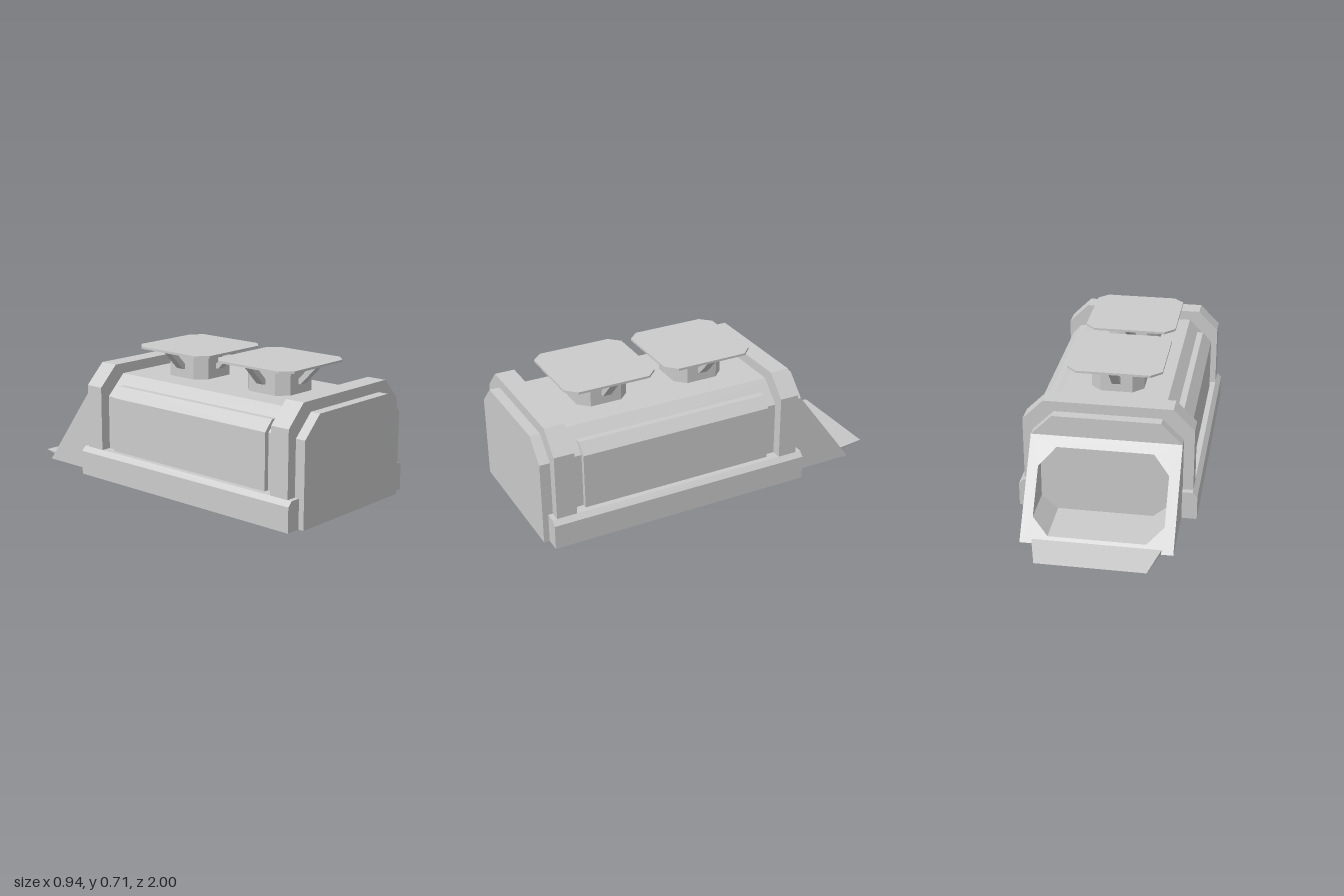
import * as THREE from 'three';

const material = new THREE.MeshStandardMaterial({ color: 0xcccccc, flatShading: true, side: THREE.DoubleSide });

function add(parent, name, geometry) {
  const mesh = new THREE.Mesh(geometry, material);
  mesh.name = name;
  parent.add(mesh);
  return mesh;
}

// Flat-faced geometry from convex polygons, each a loop of [x, y, z]
function polygons(list) {
  const pos = [];
  for (const p of list) {
    for (let i = 1; i < p.length - 1; i++) pos.push(...p[0], ...p[i], ...p[i + 1]);
  }
  const g = new THREE.BufferGeometry();
  g.setAttribute('position', new THREE.Float32BufferAttribute(pos, 3));
  g.computeVertexNormals();
  return g;
}

// Hollow shell along z: walls follow the open profile, ends are capped, underside stays open
function shell(profile, z0, z1, inner = []) {
  const faces = [];
  for (let i = 0; i < profile.length - 1; i++) {
    const a = profile[i], b = profile[i + 1];
    faces.push([[...a, z1], [...a, z0], [...b, z0], [...b, z1]]);
  }
  const cap = [...profile, ...inner];
  faces.push(cap.map(p => [...p, z1]), cap.map(p => [...p, z0]).reverse());
  return polygons(faces);
}

const toShape = pts => new THREE.Shape(pts.map(p => new THREE.Vector2(...p)));
const extrude = (pts, depth) =>
  new THREE.ExtrudeGeometry(toShape(pts), { depth, bevelEnabled: false });

// Arch section with chamfered upper corners
const arch = (w, h, c) => [[w, 0], [w, h - c], [w - c, h], [c - w, h], [-w, h - c], [-w, 0]];

// Square with cut corners, extruded upwards
function cutSquare(r, c, y0, y1) {
  const k = r - c;
  const pts = [[r, -k], [r, k], [k, r], [-k, r], [-r, k], [-r, -k], [-k, -r], [k, -r]];
  return extrude(pts, y1 - y0).rotateX(-Math.PI / 2).translate(0, y0, 0);
}

function createEntrance() {
  const g = new THREE.Group();
  g.name = 'entrance';
  const W = 0.39, H = 0.445, zTop = -0.5, zFoot = -0.83;
  const slopeZ = y => zFoot + (zTop - zFoot) * y / H;
  const hole = [[0.25, 0.034], [0.335, 0.108], [0.335, 0.316], [0.25, 0.398],
    [-0.25, 0.398], [-0.335, 0.316], [-0.335, 0.108], [-0.25, 0.034]];

  // Sloping face pierced by the doorway
  const face = toShape([[W, 0], [W, H], [-W, H], [-W, 0]]);
  face.holes.push(new THREE.Path(hole.map(p => new THREE.Vector2(...p))));
  const slope = new THREE.ShapeGeometry(face);
  const pos = slope.attributes.position;
  for (let i = 0; i < pos.count; i++) {
    pos.setXYZ(i, -pos.getX(i), pos.getY(i), slopeZ(pos.getY(i)));
  }
  slope.computeVertexNormals();
  add(g, 'entranceFace', slope);

  // Triangular cheeks
  add(g, 'entranceSides', polygons([
    [[W, 0, zTop], [W, 0, zFoot], [W, H, zTop]],
    [[-W, 0, zTop], [-W, H, zTop], [-W, 0, zFoot]],
  ]));

  // Recess running level from the doorway to a flat rear wall
  const zEnd = slopeZ(0.398);
  const walls = hole.map((a, i) => {
    const b = hole[(i + 1) % hole.length];
    return [[...a, slopeZ(a[1])], [...a, zEnd], [...b, zEnd], [...b, slopeZ(b[1])]].reverse();
  });
  walls.push(hole.map(p => [...p, zEnd]).reverse());
  add(g, 'entranceRecess', polygons(walls));

  // Thin tapering ramp
  const tl = [0.33, 0.02, -0.82], tr = [-0.33, 0.02, -0.82];
  const bl = [0.33, 0, -0.82], br = [-0.33, 0, -0.82];
  const el = [0.28, 0, -1], er = [-0.28, 0, -1];
  add(g, 'ramp', polygons([[tl, el, er, tr], [bl, br, er, el], [tl, bl, el], [tr, er, br], [tl, tr, br, bl]]));
  return g;
}

function createPad(z) {
  const g = new THREE.Group();
  g.name = 'landingPad';
  g.position.z = z;
  add(g, 'padPedestal', cutSquare(0.14, 0.055, 0.555, 0.7));
  add(g, 'padDeck', cutSquare(0.25, 0.055, 0.7, 0.712));
  // Four slanted braces under the deck
  const brace = extrude([[0.135, 0.605], [0.155, 0.605], [0.25, 0.703], [0.21, 0.703], [0.135, 0.625]], 0.046)
    .translate(0, 0, -0.023);
  for (let i = 0; i < 4; i++) add(g, 'padBrace', brace).rotation.y = i * Math.PI / 2;
  return g;
}

function createSide(sign) {
  const g = new THREE.Group();
  g.name = sign > 0 ? 'leftSide' : 'rightSide';
  g.scale.x = sign;
  add(g, 'skirt', shell([[0.47, 0], [0.47, 0.13], [0.445, 0.155], [0.39, 0.155]], -0.475, 0.97, [[0.39, 0]]));
  const panel = [[0.415, 0.15], [0.415, 0.45], [0.365, 0.505], [0.332, 0.505], [0.39, 0.446], [0.39, 0.15]];
  add(g, 'sidePanel', extrude(panel, 1.058).translate(0, 0, -0.28));
  return g;
}

export function createModel() {
  const model = new THREE.Group();
  model.name = 'bunker';
  add(model, 'hull', shell(arch(0.39, 0.555, 0.11), -0.5, 1));
  // Raised ribs over both ends of the hull
  add(model, 'frontRib', shell(arch(0.445, 0.61, 0.11), 0.838, 0.945));
  add(model, 'rearRib', shell(arch(0.445, 0.61, 0.11), -0.445, -0.339));
  for (const sign of [1, -1]) model.add(createSide(sign));
  for (const z of [-0.032, 0.525]) model.add(createPad(z));
  model.add(createEntrance());
  return model;
}
